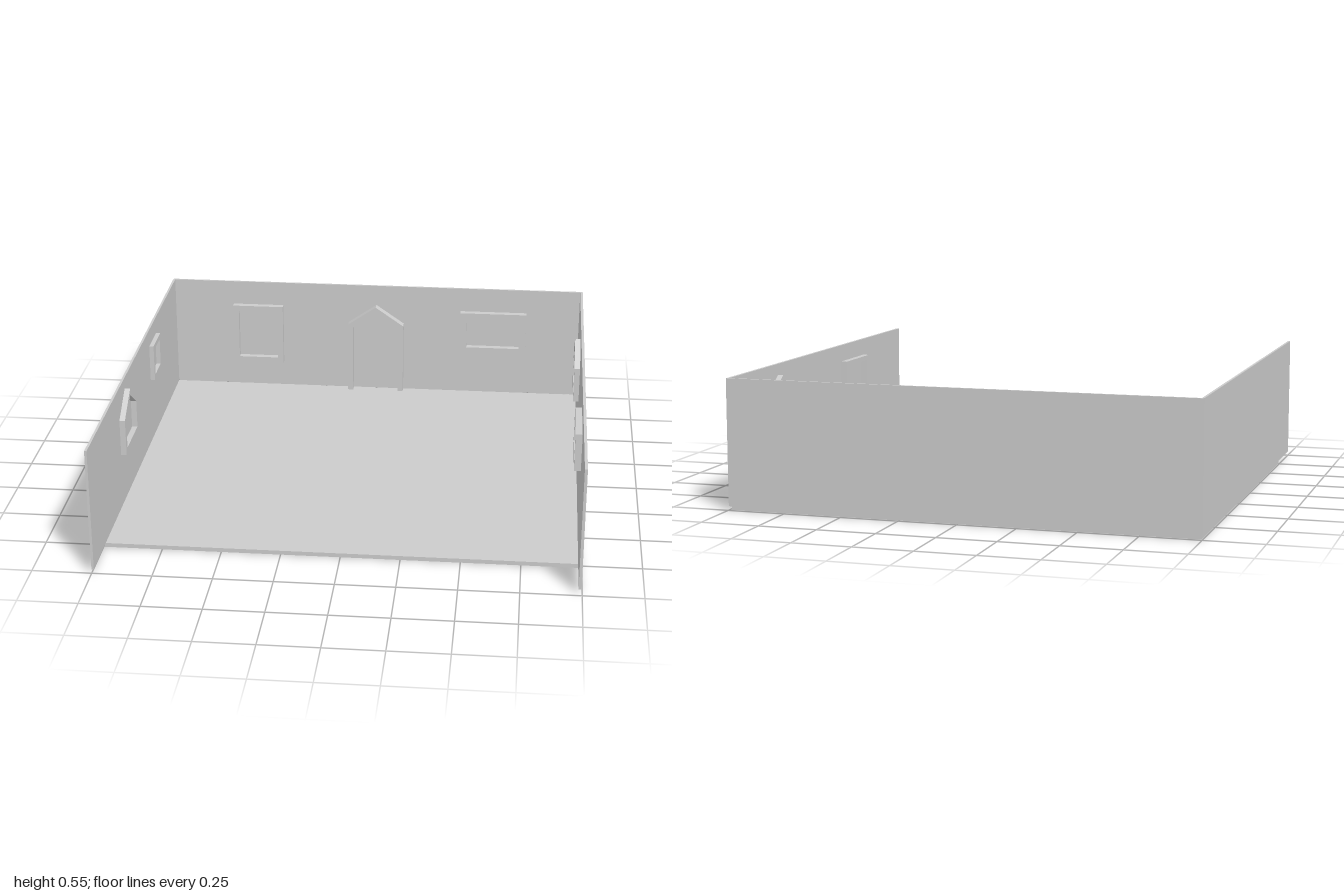
import * as THREE from 'three';

const material = new THREE.MeshStandardMaterial({ color: 0xcccccc, flatShading: true });

// Box given by its min and max corners
function block(name, [x0, y0, z0], [x1, y1, z1]) {
  const mesh = new THREE.Mesh(new THREE.BoxGeometry(x1 - x0, y1 - y0, z1 - z0), material);
  mesh.name = name;
  mesh.position.set((x0 + x1) / 2, (y0 + y1) / 2, (z0 + z1) / 2);
  return mesh;
}

const points = (list) => list.map(([x, y]) => new THREE.Vector2(x, y));

// Rectangular outline, centred on x
const rect = (w, y0, y1) => [[-w / 2, y0], [w / 2, y0], [w / 2, y1], [-w / 2, y1]];

// Gabled outline with a pointed top, centred on x
const gable = (w, y0, shoulder, apex) =>
  [[-w / 2, y0], [w / 2, y0], [w / 2, shoulder], [0, apex], [-w / 2, shoulder]];

// Raised trim extruded from the wall into the room
function trim(name, outer, inner, depth, position, turn = 0) {
  const shape = new THREE.Shape(points(outer));
  if (inner) shape.holes.push(new THREE.Path(points(inner)));
  const geometry = new THREE.ExtrudeGeometry(shape, { depth, bevelEnabled: false });
  const mesh = new THREE.Mesh(geometry, material);
  mesh.name = name;
  mesh.position.set(...position);
  mesh.rotation.y = turn;
  return mesh;
}

export function createModel() {
  const model = new THREE.Group();
  model.name = 'room';
  const base = 0.018, top = 0.553;

  // Floor slab and three thin walls
  model.add(
    block('floor', [-0.995, 0, -0.987], [0.99, base, 0.767]),
    block('backWall', [-0.997, base, -1], [0.985, top, -0.99]),
    block('rightWall', [-1, base, -0.995], [-0.99, top, 1]),
    block('leftWall', [0.985, base, -1], [0.997, top, 0.98])
  );

  // Back wall: two windows and a pointed doorway
  model.add(
    trim('backWindowTall', rect(0.245, 0.143, 0.437), rect(0.19, 0.17, 0.41), 0.035, [-0.58, 0, -0.996]),
    trim('backWindowWide', rect(0.32, 0.24, 0.437), rect(0.255, 0.26, 0.42), 0.035, [0.571, 0, -0.996])
  );
  const doorOutline = [
    [-0.135, base], [-0.11, base], [-0.11, 0.348], [0, 0.428], [0.11, 0.348], [0.11, base],
    [0.135, base], [0.135, 0.362], [0, 0.455], [-0.135, 0.362]
  ];
  model.add(trim('doorFrame', doorOutline, null, 0.042, [0, 0, -0.992]));

  // Side walls: a gabled and a rectangular window each
  const gableOuter = gable(0.27, 0.25, 0.412, 0.505);
  const gableInner = gable(0.22, 0.275, 0.398, 0.476);
  const quarter = Math.PI / 2;
  model.add(
    trim('rightWindowGabled', gableOuter, gableInner, 0.03, [-0.996, 0, 0.255], quarter),
    trim('rightWindowSmall', rect(0.17, 0.31, 0.477), rect(0.125, 0.332, 0.455), 0.026, [-0.996, 0, -0.385], quarter),
    trim('leftWindowGabled', gableOuter, gableInner, 0.033, [0.993, 0, -0.508], -quarter),
    trim('leftWindowWide', rect(0.28, 0.31, 0.477), rect(0.23, 0.332, 0.455), 0.037, [0.993, 0, 0.35], -quarter)
  );
  return model;
}
